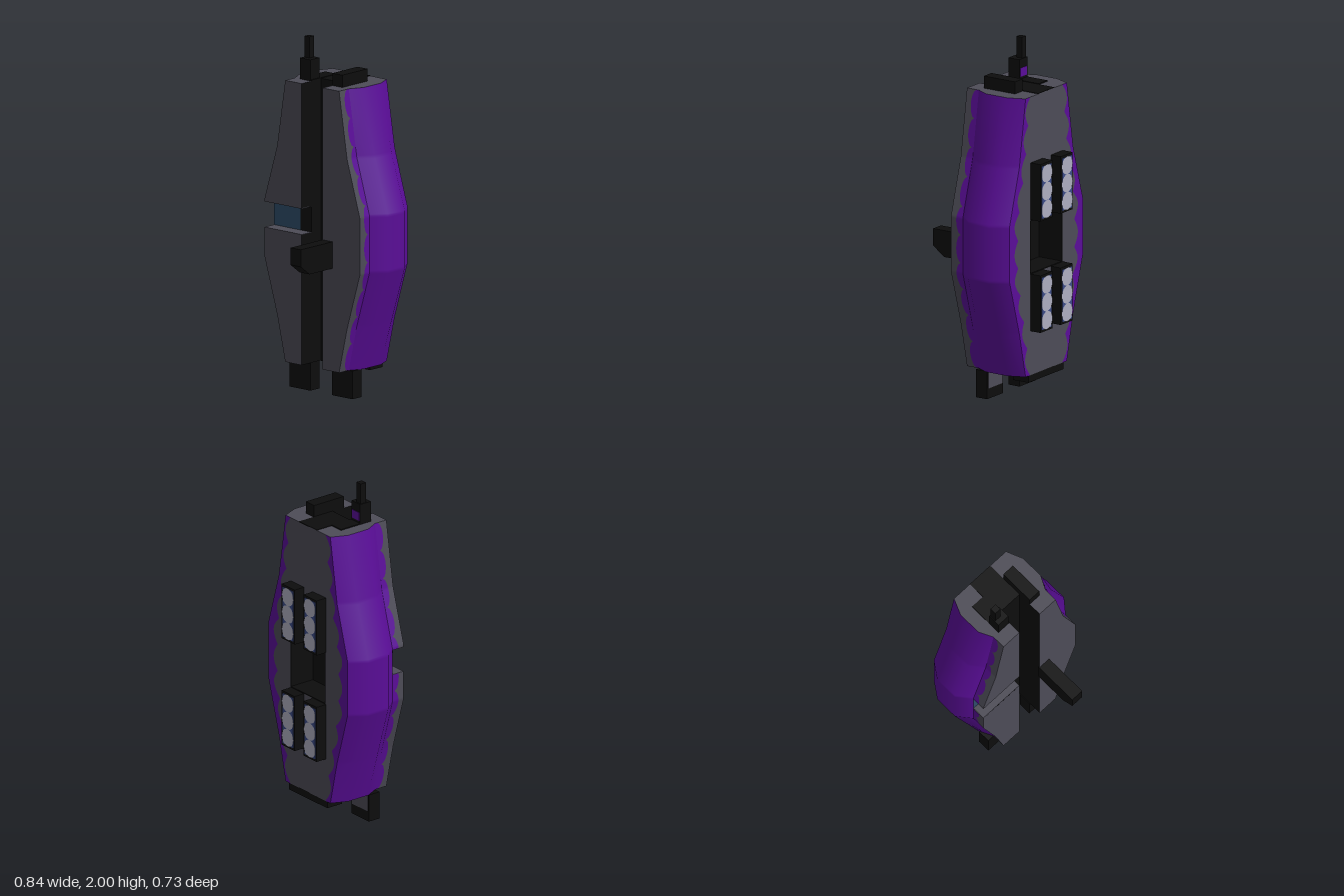
import * as THREE from 'three';

const material = (name, color) => {
  const m = new THREE.MeshStandardMaterial({ color, side: THREE.DoubleSide });
  m.name = name;
  return m;
};

export function createModel() {
  const model = new THREE.Group();
  const purple = material('purple paint', 0x5a0d98);
  const gray = material('hull gray', 0x4d4c57);
  const black = material('black metal', 0x0d0d0d);
  const glass = material('window blue', 0x2f4d6a);
  const lampBlue = material('lamp blue', 0x3c4c88);
  const lampWhite = material('lamp white', 0xaeaec0);

  const add = (name, geometry, mat) => {
    const mesh = new THREE.Mesh(geometry, mat);
    mesh.name = name;
    model.add(mesh);
    return mesh;
  };
  // Box given by its two limits on each axis
  const box = (name, [x0, x1], [y0, y1], [z0, z1], mat) =>
    add(name, new THREE.BoxGeometry(x1 - x0, y1 - y0, z1 - z0)
      .translate((x0 + x1) / 2, (y0 + y1) / 2, (z0 + z1) / 2), mat);

  // Hull measures
  const Y0 = 0.16, Y1 = 1.76, FRONT = 0.1, LEDGE = 0.02, BACK = -0.295, SLOT = 0.078;
  const NOTCH = [0.9, 1.05], BAY = [0.74, 1.05], BAYX = 0.158;
  const lerpStops = (stops, y) => {
    for (let i = 1; i < stops.length; i++) {
      const [ya, a] = stops[i - 1], [yb, b] = stops[i];
      if (y <= yb) return a + (b - a) * (y - ya) / (yb - ya);
    }
    return stops[stops.length - 1][1];
  };
  const inner = y => lerpStops([[0.16, 0.2], [0.42, 0.26], [0.74, 0.355], [1.06, 0.355], [1.38, 0.26], [1.76, 0.2]], y);
  const outer = y => lerpStops([[0.16, 0.24], [0.42, 0.32], [0.74, 0.42], [1.06, 0.42], [1.38, 0.32], [1.76, 0.24]], y);
  const wave = y => Math.abs(Math.sin((y - Y0) * Math.PI / 0.16));
  const sideEdge = y => 0.035 + 0.03 * Math.sqrt(wave(y));
  const backEdge = y => 0.19 + 0.75 * (inner(y) - 0.2) - 0.035 * (1 - wave(y));

  // Surface swept upward through cross-sections of [x, z] points
  function sweep(name, y0, y1, section, side, mat) {
    const rows = Math.round((y1 - y0) / 0.01), pos = [], index = [];
    const cols = section(y0).length;
    for (let i = 0; i <= rows; i++) {
      const y = y0 + (y1 - y0) * i / rows;
      for (const [x, z] of section(y)) pos.push(x * side, y, z);
    }
    for (let i = 0; i < rows; i++) for (let j = 0; j < cols - 1; j++) {
      const a = i * cols + j, b = a + 1, c = a + cols, d = c + 1;
      if (side > 0) index.push(a, c, b, b, c, d);
      else index.push(a, b, c, b, d, c);
    }
    const g = new THREE.BufferGeometry();
    g.setAttribute('position', new THREE.Float32BufferAttribute(pos, 3));
    g.setIndex(index);
    g.computeVertexNormals();
    add(name, g, mat);
  }

  for (const side of [1, -1]) {
    // Painted flank and the scalloped borders on the back
    sweep('flank', Y0, Y1, y => [[inner(y), LEDGE], [outer(y), -0.06], [outer(y), -0.2], [inner(y), BACK]], side, purple);
    sweep('backPaint', Y0, Y1, y => [[inner(y), BACK], [backEdge(y), BACK]], side, purple);
    sweep('backPlate', Y0, Y1, y => [[backEdge(y), BACK], [BAYX, BACK]], side, gray);
    // Front armour; the right one is interrupted by the window notch
    const spans = side > 0 ? [[Y0, Y1]] : [[Y0, NOTCH[0]], [NOTCH[1], Y1]];
    for (const [a, b] of spans) {
      sweep('frontArmour', a, b, y => [[SLOT, FRONT], [inner(y), FRONT]], side, gray);
      sweep('armourEdge', a, b, y => [[inner(y), FRONT], [inner(y), sideEdge(y)]], side, gray);
      sweep('edgePaint', a, b, y => [[inner(y), sideEdge(y)], [inner(y), LEDGE]], side, purple);
    }
    const wallTop = side > 0 ? FRONT : LEDGE;
    sweep('slotWall', Y0, Y1, () => [[SLOT, -0.06], [SLOT, wallTop]], side, black);
    if (side < 0) for (const [a, b] of spans)
      sweep('slotWallFront', a, b, () => [[SLOT, LEDGE], [SLOT, FRONT]], side, black);
  }

  // Back centre above and below the equipment bay
  box('backCentreLow', [-BAYX, BAYX], [Y0, BAY[0]], [BACK, BACK + 0.01], gray);
  box('backCentreHigh', [-BAYX, BAYX], [BAY[1], Y1], [BACK, BACK + 0.01], gray);

  // Equipment bay, open toward the back
  box('bayFloor', [-BAYX, BAYX], BAY, [-0.14, -0.13], black);
  for (const s of [-1, 1]) box('bayWall', [s * BAYX - 0.005, s * BAYX + 0.005], BAY, [BACK + 0.001, -0.13], black);
  for (const y of BAY) box('bayLedge', [-BAYX, BAYX], [y - 0.005, y + 0.005], [BACK + 0.001, -0.13], black);

  // End caps with the front slot cut out
  const half = [[SLOT, -0.06], [SLOT, FRONT], [0.2, FRONT], [0.2, LEDGE], [0.24, -0.06], [0.24, -0.2], [0.2, BACK]];
  const outline = [...half, ...half.map(([x, z]) => [-x, z]).reverse()];
  const capShape = new THREE.Shape(outline.map(([x, z]) => new THREE.Vector2(x, -z)));
  for (const y of [Y0, Y1])
    add('endCap', new THREE.ShapeGeometry(capShape).rotateX(-Math.PI / 2).translate(0, y, 0), gray);

  // Central spine in the front slot and its dark ends
  box('spine', [-SLOT, SLOT], [Y0, Y1], [-0.13, -0.06], black);
  for (const y of [Y0, Y1]) box('spineEnd', [-SLOT, SLOT], [y - 0.003, y + 0.003], [BACK, -0.06], black);

  // Window notch
  box('window', [-0.355, -0.16], NOTCH, [LEDGE - 0.005, LEDGE], glass);
  box('windowFrame', [-0.16, -SLOT], NOTCH, [LEDGE - 0.005, LEDGE], black);
  for (const y of NOTCH) box('notchLedge', [-0.354, -SLOT], [y - 0.002, y + 0.002], [LEDGE, FRONT - 0.001], gray);

  // Top equipment and antenna
  box('topBox', [SLOT, 0.152], [Y1, 1.83], [-0.19, 0.02], black);
  box('topPad', [-0.162, -SLOT], [Y1, Y1 + 0.006], [-0.19, 0.02], black);
  box('antennaBase', [-0.162, -0.085], [Y1, 1.88], [-0.055, 0.02], black);
  box('antennaPaint', [-0.155, -0.092], [1.78, 1.83], [-0.058, -0.055], purple);
  box('antenna', [-0.157, -0.119], [1.88, 2], [-0.048, -0.01], black);

  // Feet and the rear lower block
  for (const [a, b] of [[-0.24, -0.085], [0.075, 0.228]]) {
    box('foot', [a, b], [0, Y0], [-0.055, 0.02], black);
    box('footPlate', [a + 0.01, b - 0.01], [0.06, Y0], [-0.058, -0.055], gray);
  }
  box('rearBlock', [-0.17, 0.17], [0.12, Y0], [-0.293, -0.19], black);

  // Front gun with a chamfered lower nose
  const gunSide = new THREE.Shape([[0.09, 0.745], [0.29, 0.745], [0.363, 0.8], [0.363, 0.897], [0.09, 0.897]]
    .map(([z, y]) => new THREE.Vector2(-z, y)));
  add('gun', new THREE.ExtrudeGeometry(gunSide, { depth: 0.076, bevelEnabled: false })
    .rotateY(Math.PI / 2).translate(0.075, 0, 0), black);

  // Lamp blocks on the back, three round lamps each
  for (const x of [-0.103, 0.093]) for (const y of [0.577, 1.217]) {
    box('lampBlock', [x - 0.058, x + 0.058], [y - 0.164, y + 0.164], [-0.361, BACK], black);
    box('lampPanel', [x - 0.046, x + 0.046], [y - 0.15, y + 0.15], [-0.364, -0.361], lampBlue);
    for (const dy of [-0.103, 0, 0.103])
      add('lamp', new THREE.CircleGeometry(0.052, 24).rotateY(Math.PI).translate(x, y + dy, -0.366), lampWhite);
  }
  return model;
}
